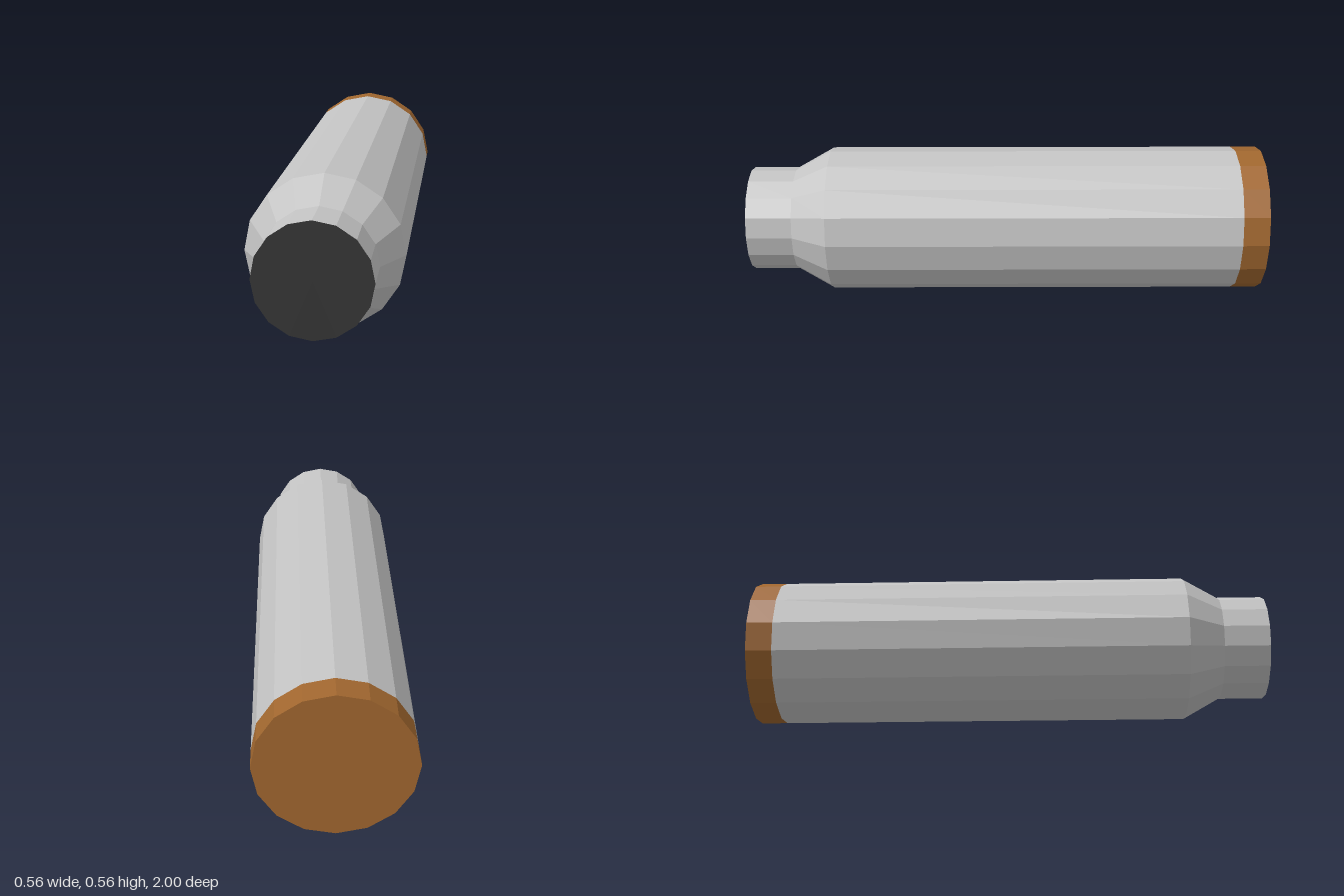
import * as THREE from 'three';

const SIDES = 16;
const BODY_R = 0.281;
const NECK_R = 0.202;

function makeMaterial(name, color) {
  const m = new THREE.MeshStandardMaterial({ color, flatShading: true });
  m.name = name;
  return m;
}

export function createModel() {
  const model = new THREE.Group();
  model.name = 'canister';
  const grey = makeMaterial('light grey', 0xc3c3c3);
  const copper = makeMaterial('copper', 0xa1672f);
  const dark = makeMaterial('charcoal', 0x343434);

  // Faceted ring from z0 (back) to z1 (front), lying along the z axis
  function ring(name, z0, z1, r0, r1, material) {
    const geo = new THREE.CylinderGeometry(r1, r0, z1 - z0, SIDES, 1, true);
    geo.rotateX(Math.PI / 2);
    add(name, geo, material, (z0 + z1) / 2);
  }

  // Flat end disc, facing front or back
  function disc(name, r, z, facing, material) {
    const geo = new THREE.CircleGeometry(r, SIDES);
    if (facing < 0) geo.rotateY(Math.PI);
    add(name, geo, material, z);
  }

  function add(name, geo, material, z) {
    const mesh = new THREE.Mesh(geo, material);
    mesh.name = name;
    mesh.position.set(0, BODY_R, z);
    model.add(mesh);
  }

  // Copper base band and its end
  disc('baseEnd', BODY_R, -1, -1, copper);
  ring('baseBand', -1, -0.9, BODY_R, BODY_R, copper);

  // Grey body, tapered shoulder and neck
  ring('body', -0.9, 0.685, BODY_R, BODY_R, grey);
  ring('shoulder', 0.685, 0.825, BODY_R, NECK_R, grey);
  ring('neck', 0.825, 1, NECK_R, NECK_R, grey);

  // Dark mouth
  disc('mouth', NECK_R, 1, 1, dark);

  return model;
}
